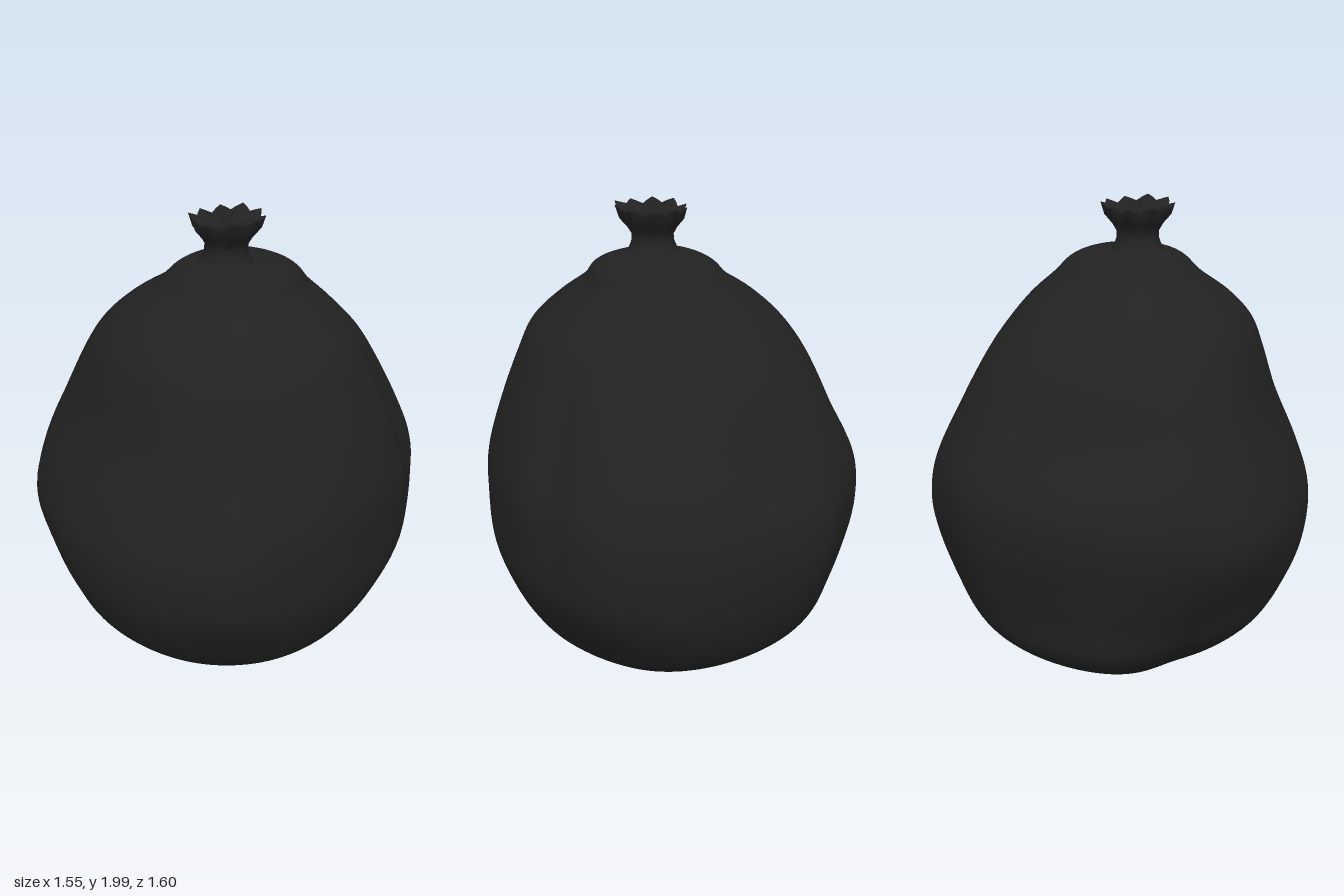
import * as THREE from 'three';
import { toCreasedNormals } from 'three/addons/utils/BufferGeometryUtils.js';

const TAU = Math.PI * 2;

// Skin a closed tube: point(row, angle) gives the surface position, rows run from bottom to top
function loft(rows, segments, point) {
  const positions = [], index = [];
  for (let i = 0; i <= rows; i++) {
    for (let j = 0; j < segments; j++) positions.push(...point(i, (j / segments) * TAU));
  }
  for (let i = 0; i < rows; i++) {
    for (let j = 0; j < segments; j++) {
      const k = (j + 1) % segments;
      const a = i * segments + j, b = i * segments + k;
      index.push(a, a + segments, b, b, a + segments, b + segments);
    }
  }
  const g = new THREE.BufferGeometry();
  g.setAttribute('position', new THREE.Float32BufferAttribute(positions, 3));
  g.setIndex(index);
  g.computeVertexNormals();
  return g;
}

// Sack sections: height, x min, x max, z min, z max
const SECTIONS = [
  [0.015, -0.01, 0.01, -0.01, 0.01],
  [0.01, -0.15, 0.14, -0.16, 0.16],
  [0.01, -0.26, 0.24, -0.27, 0.27],
  [0.03, -0.36, 0.35, -0.37, 0.37],
  [0.1, -0.49, 0.48, -0.48, 0.48],
  [0.2, -0.61, 0.59, -0.6, 0.59],
  [0.3, -0.68, 0.66, -0.68, 0.67],
  [0.43, -0.705, 0.72, -0.745, 0.735],
  [0.6, -0.74, 0.77, -0.79, 0.79],
  [0.8, -0.775, 0.775, -0.8, 0.8],
  [0.98, -0.76, 0.765, -0.765, 0.74],
  [1.2, -0.645, 0.7, -0.66, 0.635],
  [1.4, -0.56, 0.615, -0.555, 0.57],
  [1.52, -0.48, 0.55, -0.475, 0.52],
  [1.62, -0.37, 0.44, -0.39, 0.43],
  [1.7, -0.25, 0.34, -0.3, 0.31],
  [1.76, -0.19, 0.3, -0.24, 0.24],
  [1.79, -0.13, 0.24, -0.17, 0.18],
  [1.805, -0.06, 0.14, -0.06, 0.13],
  [1.81, -0.02, 0.1, -0.03, 0.1],
];

// Dents (negative) and bulges: angle from +x towards +z, height, angular spread, height spread, depth
const CREASES = [
  [2.36, 0.25, 0.36, 0.32, -0.1],
  [2.36, 1.2, 0.4, 0.2, 0.04],
  [2.22, 0.78, 0.18, 0.22, 0.02],
  [-0.79, 0.28, 0.4, 0.2, -0.045],
  [-0.6, 1.15, 0.13, 0.3, -0.04],
  [-0.88, 0.85, 0.2, 0.35, 0.02],
  [0.79, 0.85, 0.2, 0.32, 0.025],
  [0.79, 0.28, 0.35, 0.2, -0.03],
  [-2.36, 1.25, 0.4, 0.25, 0.045],
  [-2.08, 0.75, 0.2, 0.3, 0.025],
  [-2.6, 0.7, 0.2, 0.3, 0.02],
  [0.95, 1.55, 0.2, 0.14, -0.03],
  [-1.1, 1.6, 0.2, 0.15, -0.02],
];

function creaseOffset(angle, y) {
  let sum = 0;
  for (const [a, h, wa, wh, depth] of CREASES) {
    const d = Math.atan2(Math.sin(angle - a), Math.cos(angle - a));
    sum += depth * Math.exp(-((d / wa) ** 2) - ((y - h) / wh) ** 2);
  }
  return sum;
}

function makeSack() {
  const curve = (a, b) => new THREE.CatmullRomCurve3(
    SECTIONS.map((s) => new THREE.Vector3(s[a], s[0], s[b])), false, 'catmullrom', 0.5);
  const low = curve(1, 3), high = curve(2, 4);
  const rows = 114;
  return loft(rows, 120, (i, angle) => {
    const lo = low.getPoint(i / rows), hi = high.getPoint(i / rows);
    const c = Math.cos(angle), s = Math.sin(angle), y = lo.y;
    // slightly squared-off ellipse, with creases pushing along the radius
    const swell = 1 + 0.025 * Math.sin(2 * angle) ** 2 + creaseOffset(angle, y) / 0.75;
    return [
      (lo.x + hi.x) / 2 + c * swell * (hi.x - lo.x) / 2,
      Math.max(0, y),
      (lo.z + hi.z) / 2 + s * swell * (hi.z - lo.z) / 2,
    ];
  });
}

// Gathered neck: radius, height, pleat depth, pleat lift
const NECK = [
  [0.12, 1.792, 0, 0],
  [0.098, 1.815, 0, 0],
  [0.086, 1.845, 0.01, 0],
  [0.084, 1.875, 0.015, 0],
  [0.1, 1.905, 0.03, 0],
  [0.128, 1.938, 0.05, 0.003],
  [0.139, 1.978, 0.075, 0.01],
  [0.085, 1.962, 0.06, 0.014],
  [0.04, 1.95, 0.04, 0.008],
  [0.002, 1.94, 0, 0],
];

function makeNeck() {
  const pleats = 10;
  const g = loft(NECK.length - 1, pleats * 4, (i, angle) => {
    const [r, y, depth, lift] = NECK[i];
    const wave = Math.cos(pleats * angle);
    // the pleats on the left side flare a little wider
    const flare = 1 + depth * (wave + 0.7 * Math.cos(angle) + 0.35 * Math.sin(3 * angle));
    return [
      0.045 + r * flare * Math.cos(angle),
      Math.min(2, y + lift * (wave + 0.5 * Math.cos(angle) + 0.4 * Math.sin(3 * angle + 1))),
      0.045 + r * flare * Math.sin(angle),
    ];
  });
  return toCreasedNormals(g, 0.6);
}

export function createModel() {
  const model = new THREE.Group();
  const plastic = new THREE.MeshStandardMaterial({ color: 0x222222, side: THREE.DoubleSide });
  const add = (name, geometry) => {
    const mesh = new THREE.Mesh(geometry, plastic);
    mesh.name = name;
    model.add(mesh);
  };
  add('sack', makeSack());
  add('gatheredNeck', makeNeck());
  return model;
}
